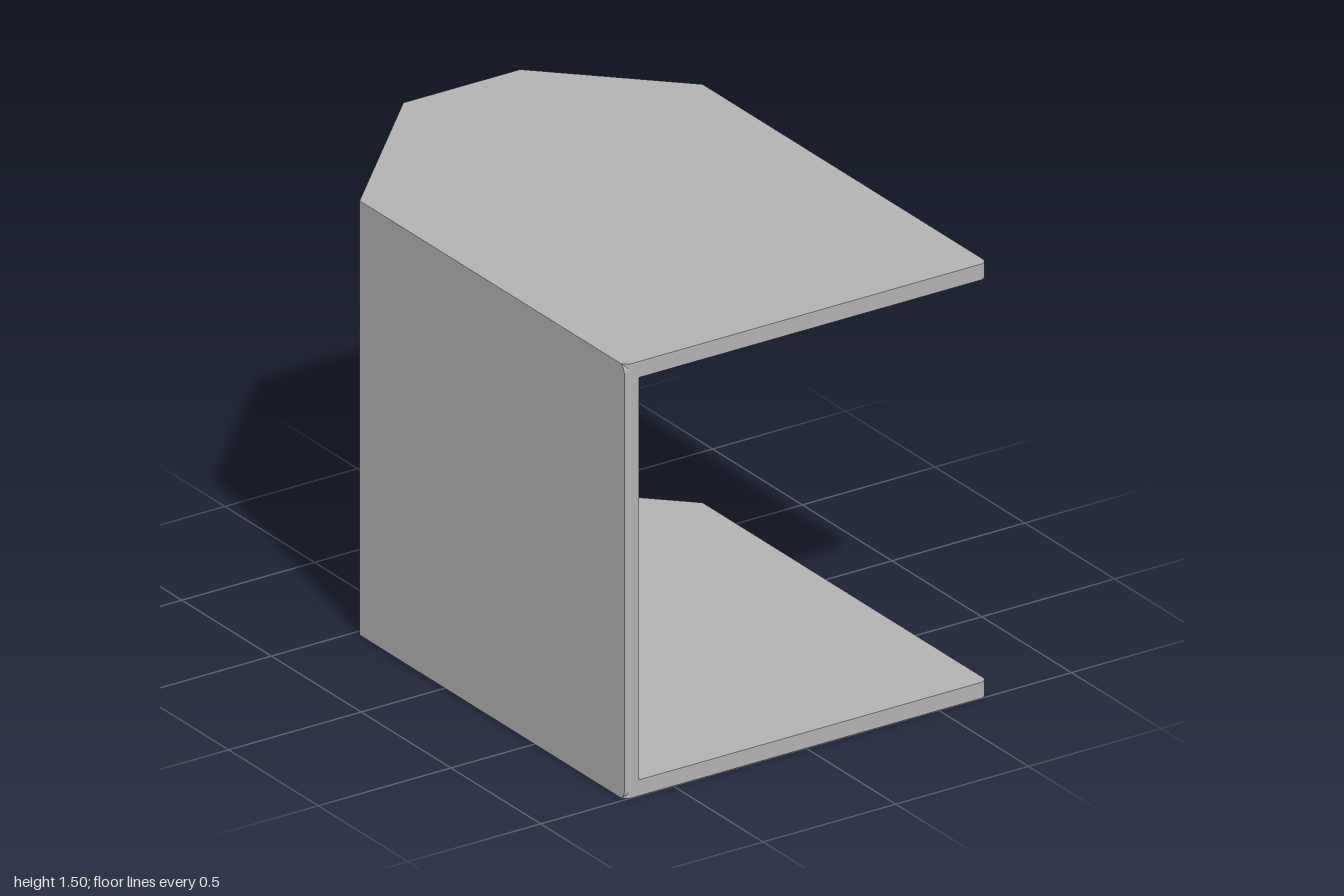
import * as THREE from 'three';

const T = 0.055;   // panel thickness
const H = 1.495;   // overall height
const R = 0.028;   // corner rounding

export function createModel() {
  const group = new THREE.Group();
  const grey = new THREE.MeshStandardMaterial({ color: 0xb2b2b2 });
  grey.name = 'grey';

  const add = (name, geometry, x = 0, y = 0, z = 0) => {
    const mesh = new THREE.Mesh(geometry, grey);
    mesh.name = name;
    mesh.position.set(x, y, z);
    group.add(mesh);
  };
  const extrude = (shape, depth) =>
    new THREE.ExtrudeGeometry(shape, { depth, bevelEnabled: false, curveSegments: 6 });

  // Top and bottom plates: six-sided outline with rounded front corners
  const outline = new THREE.Shape();
  outline.moveTo(-0.685 + R, -1);
  outline.lineTo(0.685 - R, -1);
  outline.absarc(0.685 - R, -1 + R, R, -Math.PI / 2, 0, false);
  outline.lineTo(0.685, 0.59);
  outline.lineTo(0.275, 1);
  outline.lineTo(-0.165, 1);
  outline.lineTo(-0.685, 0.475);
  outline.lineTo(-0.685, -1 + R);
  outline.absarc(-0.685 + R, -1 + R, R, Math.PI, Math.PI * 1.5, false);
  for (const [name, y] of [['bottomPlate', 0], ['topPlate', H - T]]) {
    add(name, extrude(outline, T).rotateX(-Math.PI / 2), 0, y, 0);
  }

  // Side wall: upright panel, front corners rounded (shape x runs along -z)
  const side = new THREE.Shape();
  side.moveTo(-1 + R, 0);
  side.lineTo(0.475, 0);
  side.lineTo(0.475, H);
  side.lineTo(-1 + R, H);
  side.absarc(-1 + R, H - R, R, Math.PI / 2, Math.PI, false);
  side.lineTo(-1, R);
  side.absarc(-1 + R, R, R, Math.PI, Math.PI * 1.5, false);
  add('sideWall', extrude(side, T).rotateY(Math.PI / 2), -0.685, 0, 0);

  // Back wall between the plates
  add('backWall', new THREE.BoxGeometry(0.44, H - 2 * T, T), 0.055, H / 2, -1 + T / 2);

  // Small ledges on the inner faces of the plates
  for (const [name, y] of [['bottomLedge', T * 1.5], ['topLedge', H - T * 1.5]]) {
    add(name, new THREE.BoxGeometry(0.435, T, 0.04), 0.0325, y, -0.885);
  }
  return group;
}
